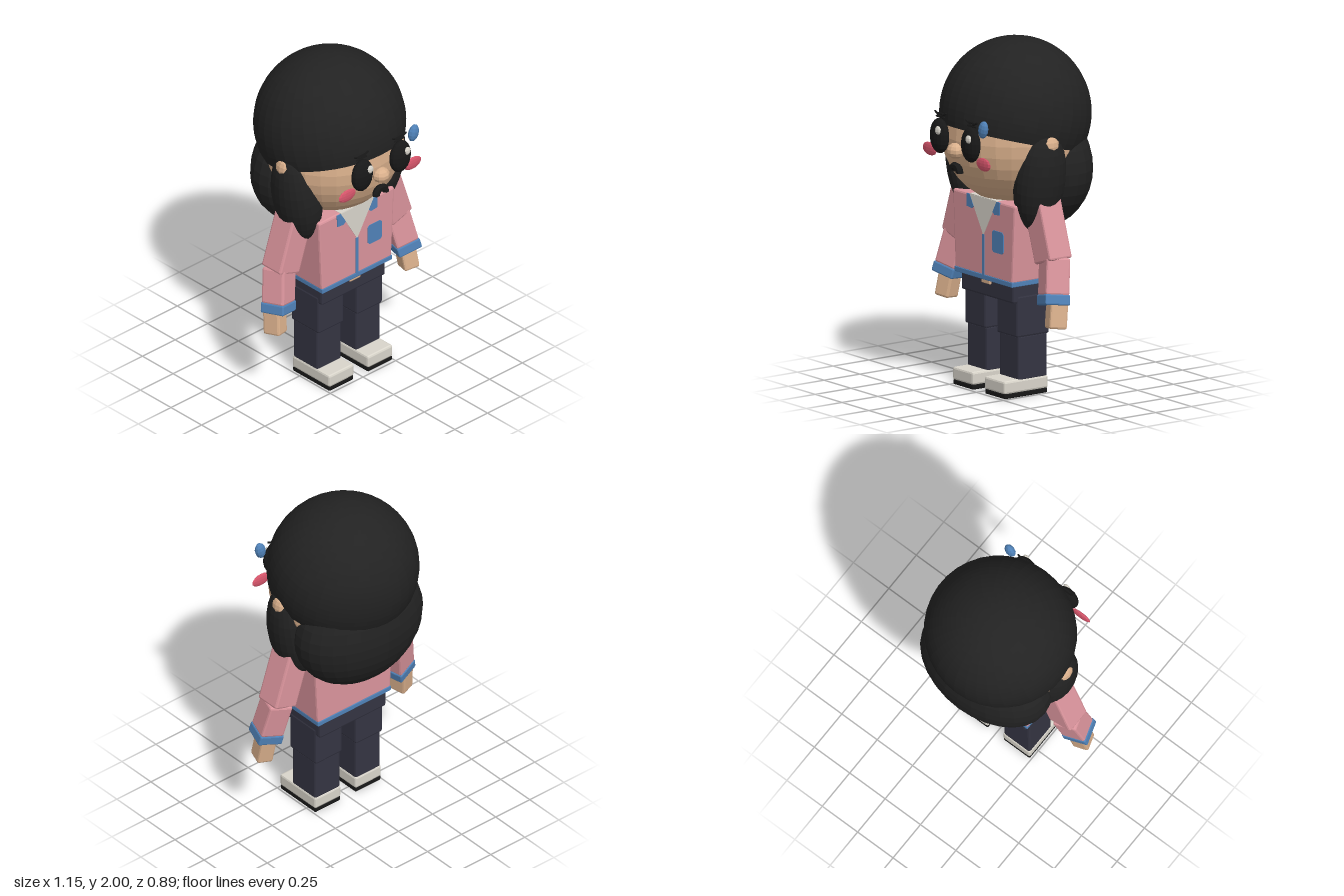
import * as THREE from 'three';
import { RoundedBoxGeometry } from 'three/addons/geometries/RoundedBoxGeometry.js';

function material(name, color) {
  const m = new THREE.MeshStandardMaterial({ color, flatShading: true });
  m.name = name;
  return m;
}

export function createModel() {
  const model = new THREE.Group();
  model.name = 'figure';
  const hair = material('hair', 0x222222);
  const black = material('black', 0x181818);
  const skin = material('skin', 0xdab08c);
  const pink = material('jacket pink', 0xda949c);
  const blue = material('trim blue', 0x5082b8);
  const cream = material('cream', 0xd9d5cb);
  const navy = material('trousers', 0x343442);
  const blush = material('blush', 0xd8566c);
  hair.side = THREE.DoubleSide;

  function add(name, geo, mat, pos = [0, 0, 0], rot = [0, 0, 0], parent = model) {
    const mesh = new THREE.Mesh(geo, mat);
    mesh.name = name;
    mesh.position.set(...pos);
    mesh.rotation.set(...rot);
    parent.add(mesh);
    return mesh;
  }
  // Box with a chamfered edge; taper scales the width of the lower end
  function box(w, h, d, bevel = 0.012, taper = 1) {
    const g = new RoundedBoxGeometry(w, h, d, 1, bevel);
    const p = g.attributes.position;
    for (let i = 0; i < p.count; i++) {
      const t = 0.5 - p.getY(i) / h;
      p.setX(i, p.getX(i) * (1 + (taper - 1) * t));
    }
    g.computeVertexNormals();
    return g;
  }
  function ball(rx, ry, rz, seg = 12, theta = Math.PI) {
    return new THREE.SphereGeometry(1, seg, Math.round(seg * 0.66), 0, Math.PI * 2, 0, theta).scale(rx, ry, rz);
  }
  // Thin flat plate from outline points
  function plate(points) {
    const shape = new THREE.Shape(points.map(([x, y]) => new THREE.Vector2(x, y)));
    return new THREE.ExtrudeGeometry(shape, { depth: 0.006, bevelEnabled: false });
  }

  // Head and hair
  add('head', ball(0.41, 0.4, 0.39, 28), skin, [0, 1.46, 0.003]);
  add('hairCap', ball(0.432, 0.43, 0.422, 36, 1.89), hair, [0, 1.57, -0.022], [-0.245, 0, 0]);
  add('backHair', ball(0.42, 0.37, 0.27, 28), hair, [0, 1.27, -0.15]);

  // Face
  add('nose', ball(0.053, 0.045, 0.05, 10), skin, [0, 1.405, 0.395]);
  add('mouth', new THREE.TorusGeometry(0.036, 0.022, 6, 10, Math.PI), black, [0, 1.282, 0.395]);
  add('hairClip', ball(0.034, 0.052, 0.025, 10), blue, [0.253, 1.57, 0.392], [0, 0, -0.25]);

  // Jacket
  add('torso', box(0.58, 0.45, 0.32, 0.012, 0.92), pink, [0, 0.885, 0.04]);
  add('hem', box(0.535, 0.03, 0.326, 0.004), blue, [0, 0.655, 0.04]);
  add('shirtFront', plate([[-0.125, 1.108], [0, 0.895], [0.125, 1.108]]), cream, [0, 0, 0.197]);
  add('shirtTop', new THREE.BoxGeometry(0.25, 0.008, 0.18), cream, [0, 1.108, 0.112]);
  add('zip', plate([[-0.01, 0.645], [0.01, 0.645], [0.01, 0.9], [-0.01, 0.9]]), blue, [0, 0, 0.198]);
  add('pocket', plate([[0.095, 0.815], [0.175, 0.815], [0.188, 0.828], [0.188, 0.927],
    [0.175, 0.94], [0.095, 0.94], [0.082, 0.927], [0.082, 0.828]]), blue, [0, 0, 0.198]);

  // Trousers
  add('hips', box(0.485, 0.12, 0.285), navy, [0, 0.598, 0.033]);
  add('buckle', box(0.08, 0.035, 0.02, 0.004), skin, [0, 0.633, 0.178]);

  for (const s of [1, -1]) {
    const side = s > 0 ? 'left' : 'right';
    const part = (name, ...rest) => add(side + name, ...rest);

    // Head parts in pairs
    part('HairLock', ball(0.13, 0.31, 0.155, 24), hair, [s * 0.315, 1.25, 0.045], [0, 0, -s * 0.16]);
    part('Ear', ball(0.045, 0.063, 0.06, 12), skin, [s * 0.4, 1.455, 0.04]);
    part('Eye', ball(0.074, 0.1, 0.042, 16), black, [s * 0.145, 1.465, 0.398]);
    part('EyeGlint', ball(0.023, 0.025, 0.013, 8), cream, [s * 0.142 + 0.027, 1.505, 0.432]);
    part('Cheek', ball(0.066, 0.038, 0.012, 10), blush, [s * 0.25, 1.37, 0.388]);
    for (let i = -1; i <= 1; i++) {
      part('Lash', new THREE.CapsuleGeometry(0.006, 0.05, 2, 5), black,
        [s * 0.145 + i * 0.027, 1.59 - Math.abs(i) * 0.004, 0.392], [0, 0, 1.57 + i * 0.45]);
    }
    part('Brow', new THREE.CapsuleGeometry(0.006, 0.07, 2, 5), black, [s * 0.145, 1.572, 0.392], [0, 0, 1.57]);
    part('Collar', plate(s > 0
      ? [[0.152, 1.035], [0.155, 1.108], [0.125, 1.108], [0.088, 1.045], [0.105, 1.03]]
      : [[-0.152, 1.035], [-0.105, 1.03], [-0.088, 1.045], [-0.125, 1.108], [-0.155, 1.108]]),
    blue, [0, 0, 0.1985]);

    // Arm: upper sleeve, then a forearm turned outward and forward
    part('UpperArm', box(0.16, 0.345, 0.155), pink, [s * 0.379, 0.966, 0.037], [0, 0, s * 0.32]);
    const fore = new THREE.Group();
    fore.name = side + 'Forearm';
    fore.position.set(s * 0.462, 0.69, 0.055);
    fore.rotation.set(-0.12, -s * 0.3, s * 0.2);
    model.add(fore);
    add('sleeve', box(0.142, 0.21, 0.142), pink, [0, 0.03, 0], [0, 0, 0], fore);
    add('cuff', box(0.148, 0.06, 0.148, 0.008), blue, [0, -0.1, 0], [0, 0, 0], fore);
    add('hand', box(0.095, 0.15, 0.105), skin, [0, -0.185, -0.02], [0, 0, -s * 0.1], fore);

    // Leg and shoe
    part('Thigh', box(0.195, 0.24, 0.225), navy, [s * 0.148, 0.46, 0.036]);
    part('Shin', box(0.182, 0.26, 0.2), navy, [s * 0.148, 0.22, 0.035]);
    part('Shoe', box(0.19, 0.075, 0.305), cream, [s * 0.148, 0.064, 0.083]);
    part('Sole', box(0.186, 0.032, 0.3, 0.008), black, [s * 0.148, 0.016, 0.083]);
  }
  return model;
}
